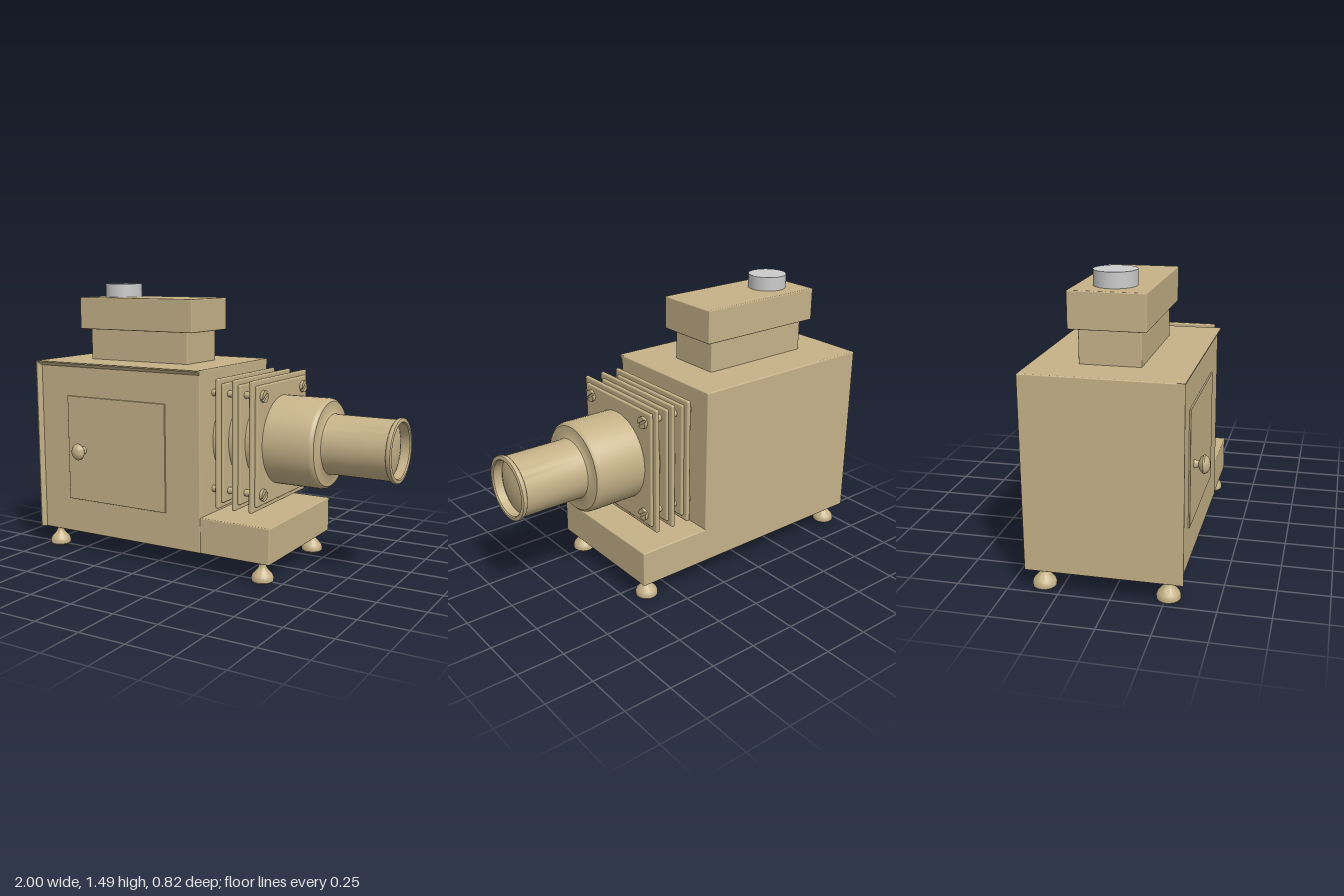
import * as THREE from 'three';
import { toCreasedNormals } from 'three/addons/utils/BufferGeometryUtils.js';
import { RoundedBoxGeometry } from 'three/addons/geometries/RoundedBoxGeometry.js';

const brass = new THREE.MeshStandardMaterial({ color: 0xc6b288 });
const grey = new THREE.MeshStandardMaterial({ color: 0xcccccc });
const AXIS_Y = 0.685, AXIS_Z = -0.038;

export function createModel() {
  const model = new THREE.Group();

  const add = (name, geometry, parent = model, material = brass) => {
    const mesh = new THREE.Mesh(geometry, material);
    mesh.name = name;
    parent.add(mesh);
    return mesh;
  };
  // Softly rounded box given by its limits on each axis
  const box = (name, [x0, x1], [y0, y1], [z0, z1], r = 0.006, parent = model) => {
    const g = new RoundedBoxGeometry(x1 - x0, y1 - y0, z1 - z0, 2, r);
    g.translate((x0 + x1) / 2, (y0 + y1) / 2, (z0 + z1) / 2);
    return add(name, g, parent);
  };
  const lathe = (points, segments = 40) => toCreasedNormals(
    new THREE.LatheGeometry(points.map(p => new THREE.Vector2(...p)), segments), 0.6);
  const extrude = (points, depth) => new THREE.ExtrudeGeometry(
    new THREE.Shape(points.map(p => new THREE.Vector2(...p))), { depth, bevelEnabled: false });

  // Lamp house and the low base under the lens
  box('lampHouse', [-1, 0.06], [0.11, 1.065], [-0.41, 0.328]);
  box('base', [0.03, 0.46], [0.11, 0.3], [-0.41, 0.325]);

  // Sloped lips along the left and top of the front panel
  add('sideLip', extrude([[-1, -0.31], [-1, -0.346], [-0.994, -0.346], [-0.968, -0.326], [-0.968, -0.31]], 0.95)
    .rotateX(-Math.PI / 2).translate(0, 0.112, 0));
  add('topLip', extrude([[-0.31, 1.065], [-0.346, 1.065], [-0.346, 1.059], [-0.326, 1.039], [-0.31, 1.039]], 1.058)
    .rotateY(Math.PI / 2).translate(-1, 0, 0));

  // Door with its knob
  box('door', [-0.79, -0.15], [0.3, 0.88], [0.3, 0.336], 0.003);
  add('doorKnob', lathe([[0, 0], [0.024, 0], [0.018, 0.012], [0.016, 0.026], [0.034, 0.034],
    [0.046, 0.048], [0.046, 0.056], [0.036, 0.07], [0.02, 0.078], [0, 0.08]], 24)
    .rotateX(Math.PI / 2).scale(0.87, 1, 1).translate(-0.685, 0.583, 0.332));

  // Chimney
  box('chimneyNeck', [-0.79, -0.15], [1.05, 1.25], [-0.185, 0.11]);
  box('chimneyCap', [-0.84, -0.1], [1.235, 1.412], [-0.221, 0.144]);
  add('chimneyVent', new THREE.CylinderGeometry(0.103, 0.103, 0.08, 40).translate(-0.666, 1.446, AXIS_Z), model, grey);

  // Stack of three plates, each with a thicker middle
  for (const x of [0.129, 0.226, 0.324]) {
    const plate = new THREE.Group();
    plate.name = 'plate';
    plate.position.set(x, AXIS_Y, AXIS_Z);
    box('plateRim', [-0.011, 0.011], [-0.337, 0.337], [-0.313, 0.313], 0.008, plate);
    box('plateCore', [-0.025, 0.025], [-0.31, 0.31], [-0.285, 0.285], 0.008, plate);
    model.add(plate);
  }

  // Lens barrel: wide body, narrow tube, end flange and hollow mouth
  add('lensBarrel', lathe([[0, 0.05], [0.235, 0.05], [0.235, 0.6], [0.231, 0.615], [0.22, 0.625],
    [0.17, 0.627], [0.157, 0.636], [0.155, 0.65], [0.155, 0.972], [0.162, 0.977], [0.165, 0.985],
    [0.163, 0.997], [0.158, 1], [0.145, 1], [0.14, 0.994], [0.14, 0.94], [0, 0.94]], 48)
    .rotateZ(-Math.PI / 2).translate(0, AXIS_Y, AXIS_Z));
  add('lens', lathe([[0.14, 0.948], [0.115, 0.957], [0.08, 0.965], [0.04, 0.97], [0, 0.972]], 48)
    .rotateZ(-Math.PI / 2).translate(0, AXIS_Y, AXIS_Z));

  // Four slotted screws holding the plates together
  const half = new THREE.Shape();
  half.absarc(0, 0, 0.031, 0.2, Math.PI - 0.2, false);
  half.closePath();
  for (const sy of [-1, 1]) for (const sz of [-1, 1]) {
    const screw = new THREE.Group();
    screw.name = 'screw';
    screw.position.set(0, AXIS_Y + sy * 0.254, AXIS_Z + sz * 0.229);
    add('rod', new THREE.CylinderGeometry(0.018, 0.018, 0.29, 16).rotateZ(Math.PI / 2).translate(0.2, 0, 0), screw);
    add('nut', new THREE.CylinderGeometry(0.031, 0.031, 0.018, 20).rotateZ(Math.PI / 2).translate(0.097, 0, 0), screw);
    add('head', new THREE.CylinderGeometry(0.031, 0.031, 0.01, 20).rotateZ(Math.PI / 2).translate(0.351, 0, 0), screw);
    for (const turn of [0, Math.PI]) {
      add('headHalf', new THREE.ExtrudeGeometry(half, { depth: 0.01, bevelEnabled: false, curveSegments: 12 })
        .rotateZ(turn + 0.6).rotateY(Math.PI / 2).translate(0.355, 0, 0), screw);
    }
    model.add(screw);
  }

  // Turned feet
  const footShape = lathe([[0, 0], [0.05, 0], [0.057, 0.008], [0.058, 0.024], [0.052, 0.04], [0.034, 0.06],
    [0.023, 0.074], [0.019, 0.088], [0.02, 0.096], [0.025, 0.1], [0.025, 0.112]], 28);
  for (const x of [-0.927, 0.392]) for (const z of [-0.336, 0.264]) {
    add('foot', footShape).position.set(x, 0, z);
  }
  return model;
}
